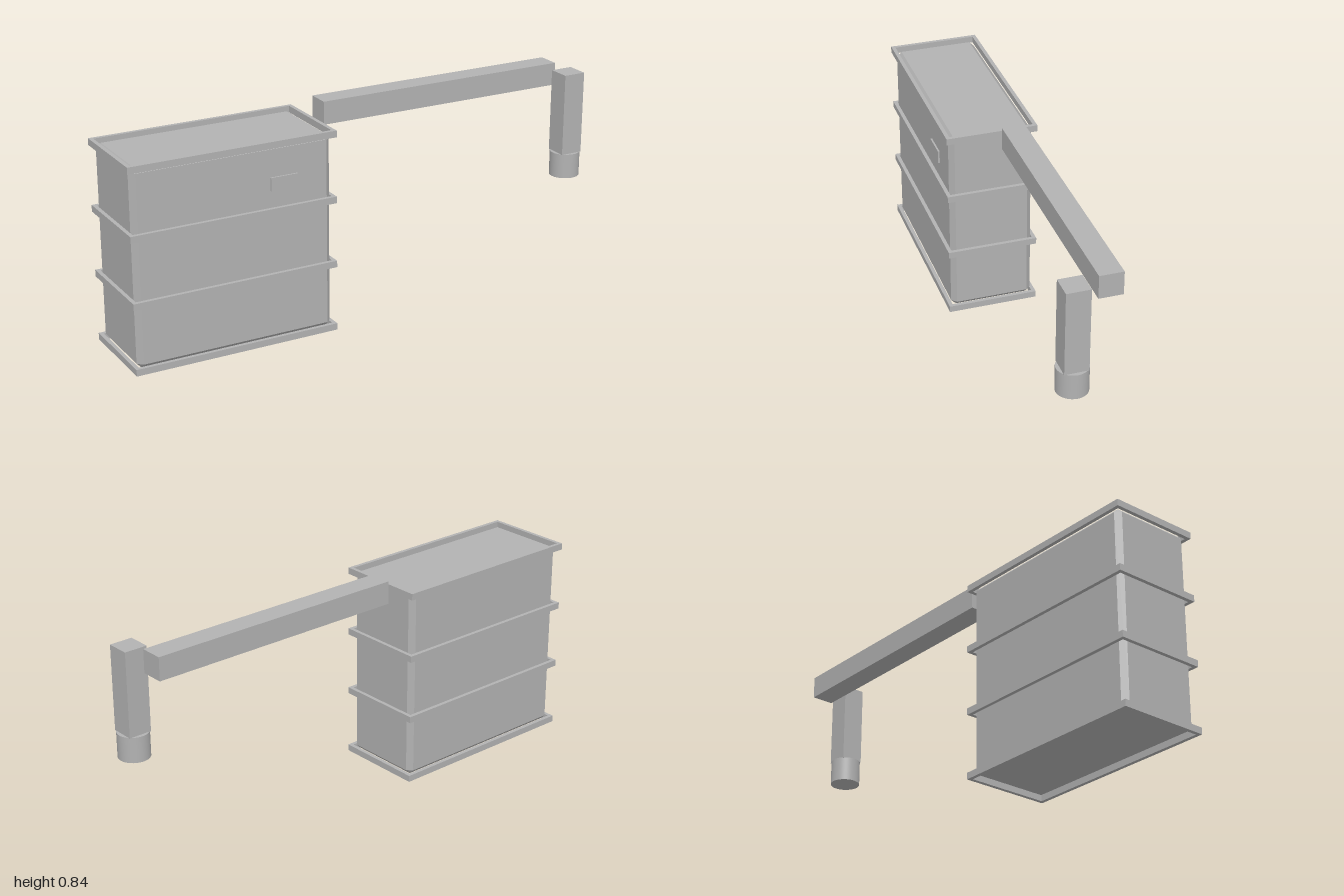
import * as THREE from 'three';
import { ConvexGeometry } from 'three/addons/geometries/ConvexGeometry.js';

// Box with every edge cut by a flat chamfer
function chamferBox(w, h, d, c) {
  const points = [];
  for (const sx of [-1, 1]) for (const sy of [-1, 1]) for (const sz of [-1, 1]) {
    for (const [a, b, e] of [[0, c, c], [c, 0, c], [c, c, 0]]) {
      points.push(new THREE.Vector3(sx * (w / 2 - a), sy * (h / 2 - b), sz * (d / 2 - e)));
    }
  }
  return new ConvexGeometry(points);
}

// Rectangle corner loop
function rectangle(w, d) {
  return [[-w, -d], [w, -d], [w, d], [-w, d]].map(([x, y]) => new THREE.Vector2(x / 2, y / 2));
}

// Open rectangular hoop lying flat, resting on y = 0
function hoop(w, h, d, wall) {
  const shape = new THREE.Shape(rectangle(w, d));
  shape.holes.push(new THREE.Path(rectangle(w - 2 * wall, d - 2 * wall).reverse()));
  return new THREE.ExtrudeGeometry(shape, { depth: h, bevelEnabled: false }).rotateX(-Math.PI / 2);
}

export function createModel() {
  const model = new THREE.Group();
  model.name = 'cabinetWithBoom';
  const grey = new THREE.MeshStandardMaterial({ color: 0xb2b2b2 });
  grey.name = 'grey';

  function add(name, geometry, x, y, z, parent = model) {
    const mesh = new THREE.Mesh(geometry, grey);
    mesh.name = name;
    mesh.position.set(x, y, z);
    parent.add(mesh);
    return mesh;
  }

  // Cabinet with chamfered edges, ringed by four hoops
  const cabinet = new THREE.Group();
  cabinet.name = 'cabinet';
  cabinet.position.x = -0.588;
  model.add(cabinet);
  add('cabinetBody', chamferBox(0.794, 0.772, 0.334, 0.02), 0, 0.399, 0, cabinet);
  const band = hoop(0.824, 0.026, 0.364, 0.015);
  for (let i = 0; i < 4; i++) add('band' + (i + 1), band, 0, i * 0.2573, 0, cabinet);

  // Small plate on the front
  add('frontPlate', new THREE.BoxGeometry(0.109, 0.052, 0.008), 0.2, 0.632, 0.17, cabinet);

  // Horizontal boom, and the post with its round foot
  add('boom', new THREE.BoxGeometry(1.057, 0.091, 0.091), 0.4085, 0.798, -0.066);
  add('post', new THREE.BoxGeometry(0.091, 0.332, 0.091), 0.939, 0.664, 0.067);
  add('roundFoot', new THREE.CylinderGeometry(0.06, 0.06, 0.1, 48), 0.939, 0.449, 0.067);

  return model;
}
